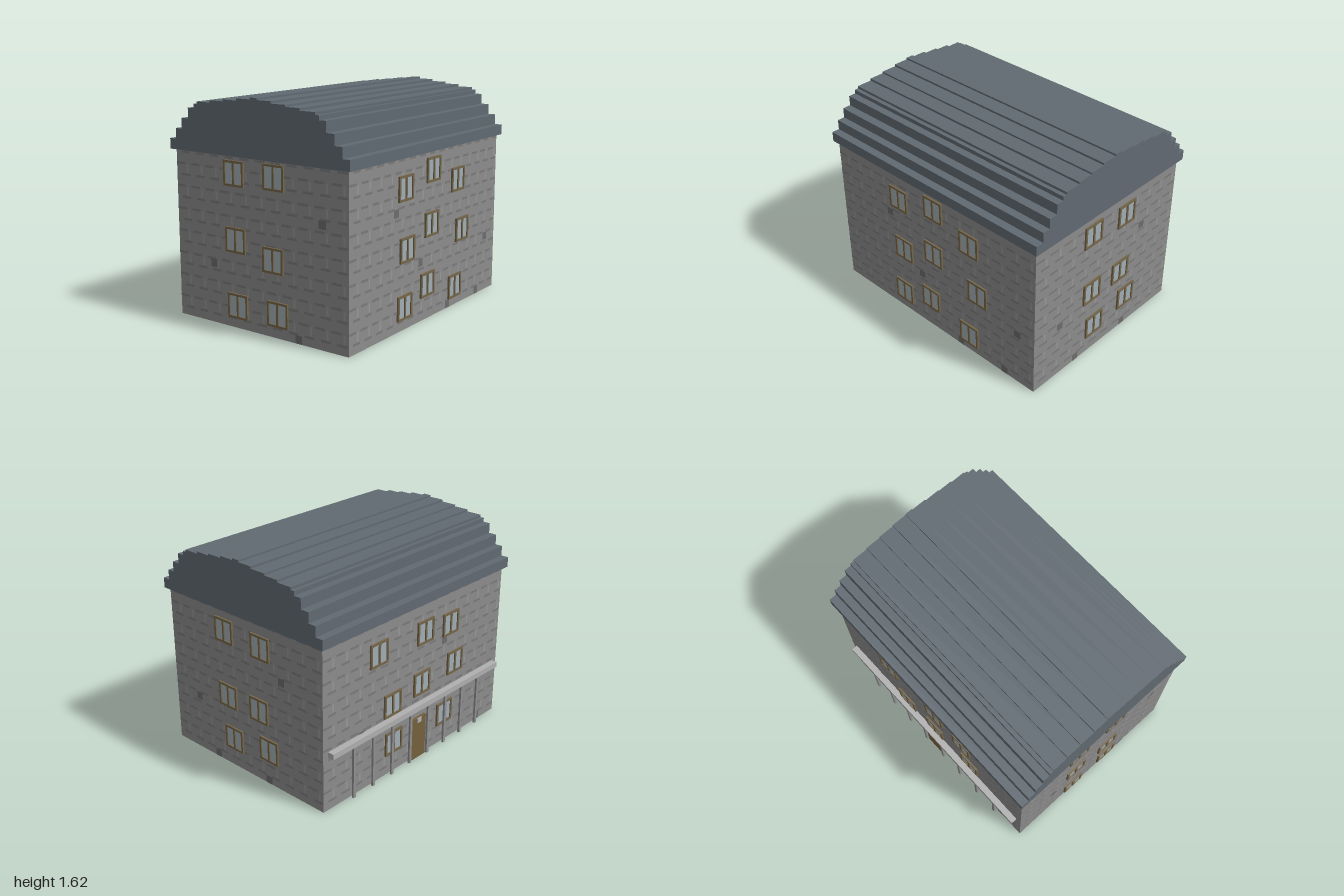
import * as THREE from 'three';
import { mergeGeometries } from 'three/addons/utils/BufferGeometryUtils.js';

const mat = (color) => new THREE.MeshStandardMaterial({ color });
const M = {
  wall: mat(0x8c8c8c), joint: mat(0x7a7a7a), pale: mat(0x989898), patch: mat(0x6c6c6c),
  roof: mat(0x616a72), frame: mat(0x75664a), glass: mat(0x9fadb3),
  door: mat(0x75603c), stone: mat(0xb0b0b0), post: mat(0x8f8f8f),
};
const H = 1.21, CZ = 0.011, HX = 0.972, HZ = 0.746;

function box(name, w, h, d, x, y, z, material) {
  const m = new THREE.Mesh(new THREE.BoxGeometry(w, h, d), material);
  m.name = name;
  m.position.set(x, y, z);
  return m;
}

// Double casement window, standing proud of the wall (local +z is outward)
function makeWindow(x, y) {
  const g = new THREE.Group();
  g.name = 'window';
  const r = 0.0885, b = 0.016, c = 0.008;
  const rect = (T, x0, y0, x1, y1) => {
    const p = new T();
    p.moveTo(x0, y0); p.lineTo(x1, y0); p.lineTo(x1, y1); p.lineTo(x0, y1); p.closePath();
    return p;
  };
  const s = rect(THREE.Shape, -r, -r, r, r);
  s.holes.push(rect(THREE.Path, -r + b, -r + b, -c, r - b), rect(THREE.Path, c, -r + b, r - b, r - b));
  const frame = new THREE.Mesh(new THREE.ExtrudeGeometry(s, { depth: 0.014, bevelEnabled: false }), M.frame);
  frame.name = 'windowFrame';
  g.add(frame, box('windowGlass', 2 * r - b, 2 * r - b, 0.006, 0, 0, 0.003, M.glass));
  g.position.set(x, y, 0);
  return g;
}

// Flat rectangles merged into one mesh: [x, y, width, height]
function tiles(name, list, z, material) {
  const m = new THREE.Mesh(mergeGeometries(list.map(([x, y, w, h]) =>
    new THREE.PlaneGeometry(w, h).translate(x, y, z))), material);
  m.name = name;
  return m;
}

// One facade: masonry courses, odd dark stones and windows
function facade(name, half, mid, windows, patches) {
  const g = new THREE.Group();
  g.name = name;
  const joints = [], pales = [];
  const rows = 15, rh = H / rows, n = Math.round(2 * half / 0.13), step = 2 * half / n;
  for (let r = 0; r < rows; r++) {
    for (let i = 0; i < n; i++) {
      const x = mid - half + step * (i + (r % 2 ? 0.3 : 0.65));
      joints.push([x, rh * (r + 0.8), step * 0.6, 0.017]);
      if (r % 2) pales.push([x + step * 0.45, rh * (r + 0.35), 0.015, 0.06]);
    }
  }
  g.add(tiles('mortarJoints', joints, 0.001, M.joint));
  g.add(tiles('paleJoints', pales, 0.001, M.pale));
  g.add(tiles('darkStones', patches.map(([x, y]) => [x, y, 0.058, 0.058]), 0.002, M.patch));
  windows.forEach(([x, y]) => g.add(makeWindow(x, y)));
  return g;
}

export function createModel() {
  const model = new THREE.Group();
  model.name = 'house';
  model.add(box('walls', 2 * HX, H, 2 * HZ, 0, H / 2, CZ, M.wall));

  // Facades in wall coordinates (x to the viewer's right)
  const front = facade('frontFacade', HX, 0,
    [[-0.326, 1], [0.031, 1.078], [0.373, 0.956], [-0.3, 0.57], [0.016, 0.69], [0.449, 0.57],
      [-0.326, 0.166], [-0.031, 0.258], [0.358, 0.151]],
    [[-0.435, 0.84], [-0.12, 0.435], [0.82, 0.435], [0.265, 0.03], [0.7, 0.03]]);
  front.position.z = CZ + HZ;

  const back = facade('backFacade', HX, 0,
    [[-0.435, 0.985], [0.06, 0.985], [0.35, 0.955], [-0.283, 0.55], [0.035, 0.595], [0.42, 0.628],
      [-0.265, 0.245], [0.316, 0.245]],
    [[0.29, 0.84], [-0.6, 0.435], [0.75, 0.03]]);
  back.position.z = CZ - HZ;
  back.rotation.y = Math.PI;

  const left = facade('leftFacade', HZ, -CZ,
    [[-0.188, 1.05], [0.169, 1.033], [-0.173, 0.554], [0.139, 0.554], [-0.128, 0.225], [0.228, 0.271]],
    [[0.36, 0.84], [-0.5, 0.435], [-0.32, 0.03], [0.215, 0.03]]);
  left.position.x = HX;
  left.rotation.y = Math.PI / 2;

  const right = facade('rightFacade', HZ, CZ,
    [[-0.195, 1.09], [0.153, 1.1], [-0.19, 0.628], [0.14, 0.538], [-0.18, 0.16], [0.175, 0.168]],
    [[0.55, 0.84], [-0.4, 0.435], [0.35, 0.03]]);
  right.position.x = -HX;
  right.rotation.y = -Math.PI / 2;
  model.add(front, back, left, right);

  // Door with a small stone above it, and the colonnade along the back
  back.add(box('door', 0.16, 0.33, 0.02, 0, 0.165, 0.01, M.door));
  back.add(box('doorStone', 0.045, 0.035, 0.01, 0, 0.312, 0.023, M.stone));
  const porch = new THREE.Group();
  porch.name = 'porch';
  porch.add(box('porchBeam', 1.85, 0.042, 0.047, 0, 0.427, 0.0235, M.stone));
  for (let i = 0; i < 8; i++) {
    porch.add(box('porchPost', 0.022, 0.41, 0.016, -0.7 + i * 0.2, 0.205, 0.025, M.post));
  }
  back.add(porch);

  // Stepped barrel roof: [half width, top height] of each layer
  const steps = [[0.776, 1.285], [0.716, 1.36], [0.658, 1.435], [0.594, 1.51], [0.538, 1.54],
    [0.508, 1.558], [0.387, 1.574], [0.27, 1.587], [0.148, 1.602], [0.03, 1.615]];
  const side = [];
  let y = H;
  for (const [w, top] of steps) {
    side.push([w, y], [w, top]);
    y = top;
  }
  const outline = [...side, ...side.map(([w, h]) => [-w, h]).reverse()];
  const shape = new THREE.Shape(outline.map(([w, h]) => new THREE.Vector2(w + 0.01, h)));
  const geo = new THREE.ExtrudeGeometry(shape, { depth: 2, bevelEnabled: false });
  geo.translate(0, 0, -1).rotateY(-Math.PI / 2);
  const roof = new THREE.Mesh(geo, M.roof);
  roof.name = 'steppedRoof';
  model.add(roof);
  return model;
}
